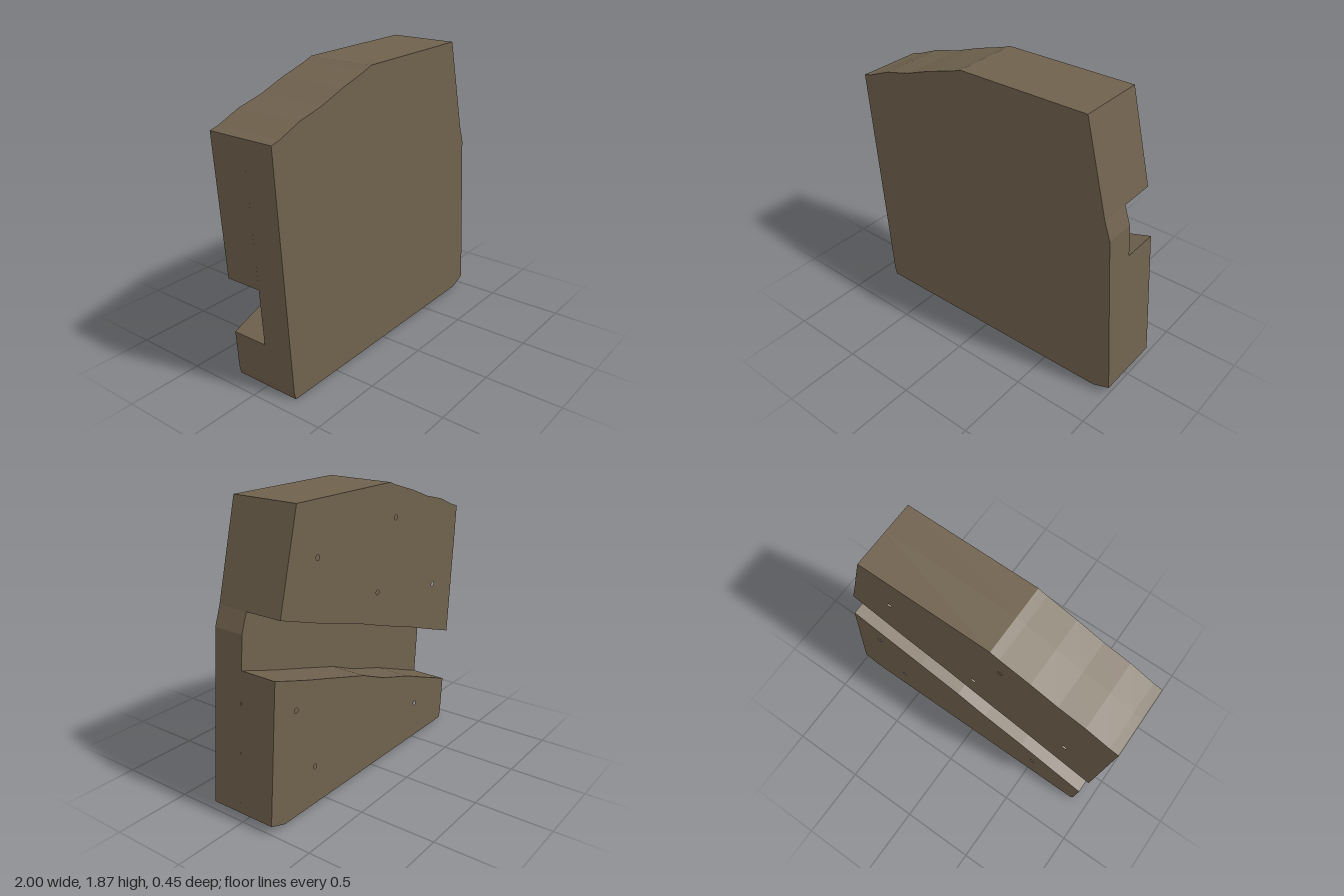
import * as THREE from 'three';

const BACK = -0.226, FLOOR = 0.02, FRONT = 0.226;

// Extrudes an outline between two depths, with round holes through it
function slab(name, points, z0, z1, material, holes = []) {
  const shape = new THREE.Shape(points.map(([x, y]) => new THREE.Vector2(x, y)));
  for (const [x, y] of holes) {
    shape.holes.push(new THREE.Path().absarc(x, y, 0.016, 0, Math.PI * 2, true));
  }
  const geometry = new THREE.ExtrudeGeometry(shape, { depth: z1 - z0, bevelEnabled: false, curveSegments: 12 });
  geometry.translate(0, 0, z0);
  const mesh = new THREE.Mesh(geometry, material);
  mesh.name = name;
  return mesh;
}

export function createModel() {
  const stone = new THREE.MeshStandardMaterial({ color: 0x6f614d });
  stone.name = 'brown stone';

  // Outline of the block, clockwise from the left tip of the crest
  const crest = [
    [-1, 1.59], [-0.94, 1.605], [-0.78, 1.67], [-0.6, 1.715], [-0.42, 1.78],
    [-0.22, 1.84], [-0.16, 1.863], [0.72, 1.872],
  ];
  const base = [[1, 0.06], [0.885, 0.017], [-0.88, 0.003], [-0.893, 0.05]];

  // Wavy edges of the sloping channel, from +x to -x
  const channelTop = [
    [0.873, 1.27], [0.48, 1.14], [0.18, 1.055], [-0.12, 0.952],
    [-0.42, 0.858], [-0.7, 0.76], [-0.937, 0.68],
  ];
  const channelBottom = [
    [0.931, 0.94], [0.67, 0.855], [0.4, 0.775], [0.1, 0.685],
    [-0.12, 0.593], [-0.42, 0.5], [-0.65, 0.41], [-0.911, 0.31],
  ];

  // Small drilled holes in the back
  const upperHoles = [[0.55, 1.546], [-0.226, 1.636], [-0.038, 1.198], [-0.707, 1.09]];
  const lowerHoles = [[0.76, 0.7], [0.6, 0.267], [-0.52, 0.258]];

  const group = new THREE.Group();
  group.name = 'channelledBlock';
  group.add(
    slab('frontSlab', [...crest, [0.873, 1.27], [0.915, 1.15], ...base], FLOOR, FRONT, stone),
    slab('upperBackBlock', [...crest, ...channelTop], BACK, FLOOR, stone, upperHoles),
    slab('lowerBackBlock', [...base, ...[...channelBottom].reverse()], BACK, FLOOR, stone, lowerHoles),
  );
  return group;
}
